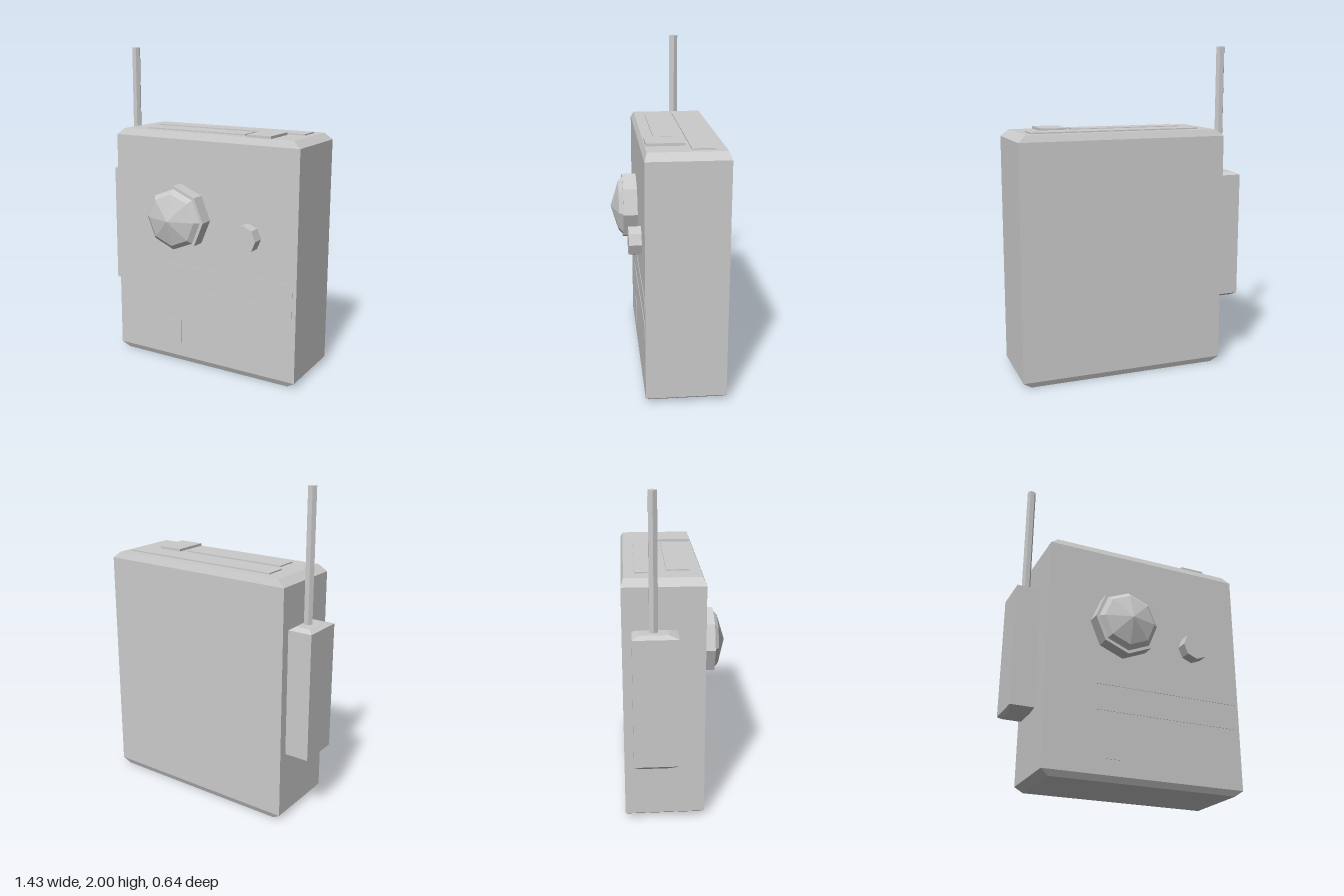
import * as THREE from 'three';

const material = new THREE.MeshStandardMaterial({ color: 0xcccccc, flatShading: true });

// Solid stacked from rectangular sections, each [y, x0, x1, z0, z1], bottom to top
function sectionedBox(sections) {
  const positions = [];
  const index = [];
  for (const [y, x0, x1, z0, z1] of sections) {
    positions.push(x0, y, z1, x1, y, z1, x1, y, z0, x0, y, z0);
  }
  for (let s = 0; s < sections.length - 1; s++) {
    for (let i = 0; i < 4; i++) {
      const a = s * 4 + i;
      const b = s * 4 + (i + 1) % 4;
      index.push(a, b, b + 4, a, b + 4, a + 4);
    }
  }
  const t = (sections.length - 1) * 4;
  index.push(0, 2, 1, 0, 3, 2, t, t + 1, t + 2, t, t + 2, t + 3);
  const indexed = new THREE.BufferGeometry();
  indexed.setAttribute('position', new THREE.Float32BufferAttribute(positions, 3));
  indexed.setIndex(index);
  const geometry = indexed.toNonIndexed();
  geometry.computeVertexNormals();
  return geometry;
}

export function createModel() {
  const model = new THREE.Group();

  const add = (name, geometry, x = 0, y = 0, z = 0) => {
    const mesh = new THREE.Mesh(geometry, material);
    mesh.name = name;
    mesh.position.set(x, y, z);
    model.add(mesh);
    return mesh;
  };

  // Box given by its extents
  const addPanel = (name, x0, x1, y0, y1, z0, z1) =>
    add(name, new THREE.BoxGeometry(x1 - x0, y1 - y0, z1 - z0),
      (x0 + x1) / 2, (y0 + y1) / 2, (z0 + z1) / 2);

  // Main case, bevelled at top and bottom
  add('case', sectionedBox([
    [0, -0.52, 0.665, -0.305, 0.14],
    [0.035, -0.57, 0.715, -0.32, 0.157],
    [1.46, -0.57, 0.715, -0.32, 0.157],
    [1.5, -0.52, 0.665, -0.305, 0.14],
  ]));

  // Antenna housing on the side, and the rod
  add('antennaHousing', sectionedBox([
    [0.41, -0.7, -0.58, -0.23, -0.06],
    [0.43, -0.72, -0.57, -0.265, -0.005],
    [1.205, -0.72, -0.57, -0.265, -0.005],
    [1.222, -0.687, -0.6, -0.23, -0.06],
  ]));
  add('antenna', new THREE.CylinderGeometry(0.028, 0.028, 0.8, 6).rotateY(Math.PI / 2),
    -0.626, 1.6, -0.143);

  // Raised panels on top
  addPanel('rearTopPanel', -0.424, 0.623, 1.48, 1.508, -0.243, -0.11);
  addPanel('frontTopPanel', -0.38, 0.317, 1.48, 1.508, -0.06, 0.075);
  addPanel('topButton', 0.36, 0.52, 1.48, 1.516, -0.085, 0.135);

  // Thin labels on the front
  addPanel('upperFrontStrip', -0.25, 0.69, 0.575, 0.655, 0.14, 0.16);
  addPanel('lowerFrontStrip', -0.25, 0.69, 0.415, 0.5, 0.14, 0.16);
  addPanel('frontTab', -0.185, -0.085, 0.13, 0.28, 0.14, 0.16);

  // Octagonal lens: mount and faceted glass
  add('lensMount', new THREE.CylinderGeometry(0.212, 0.212, 0.105, 8).rotateX(Math.PI / 2),
    -0.085, 0.972, 0.1925);
  const lensProfile = [[0.192, 0], [0.163, 0.026], [0, 0.075]]
    .map(([r, h]) => new THREE.Vector2(r, h));
  add('lens', new THREE.LatheGeometry(lensProfile, 8).rotateX(Math.PI / 2),
    -0.085, 0.972, 0.245);

  // Small front knob
  add('knob', new THREE.CylinderGeometry(0.088, 0.088, 0.09, 8).rotateX(Math.PI / 2),
    0.39, 0.903, 0.187);

  return model;
}
